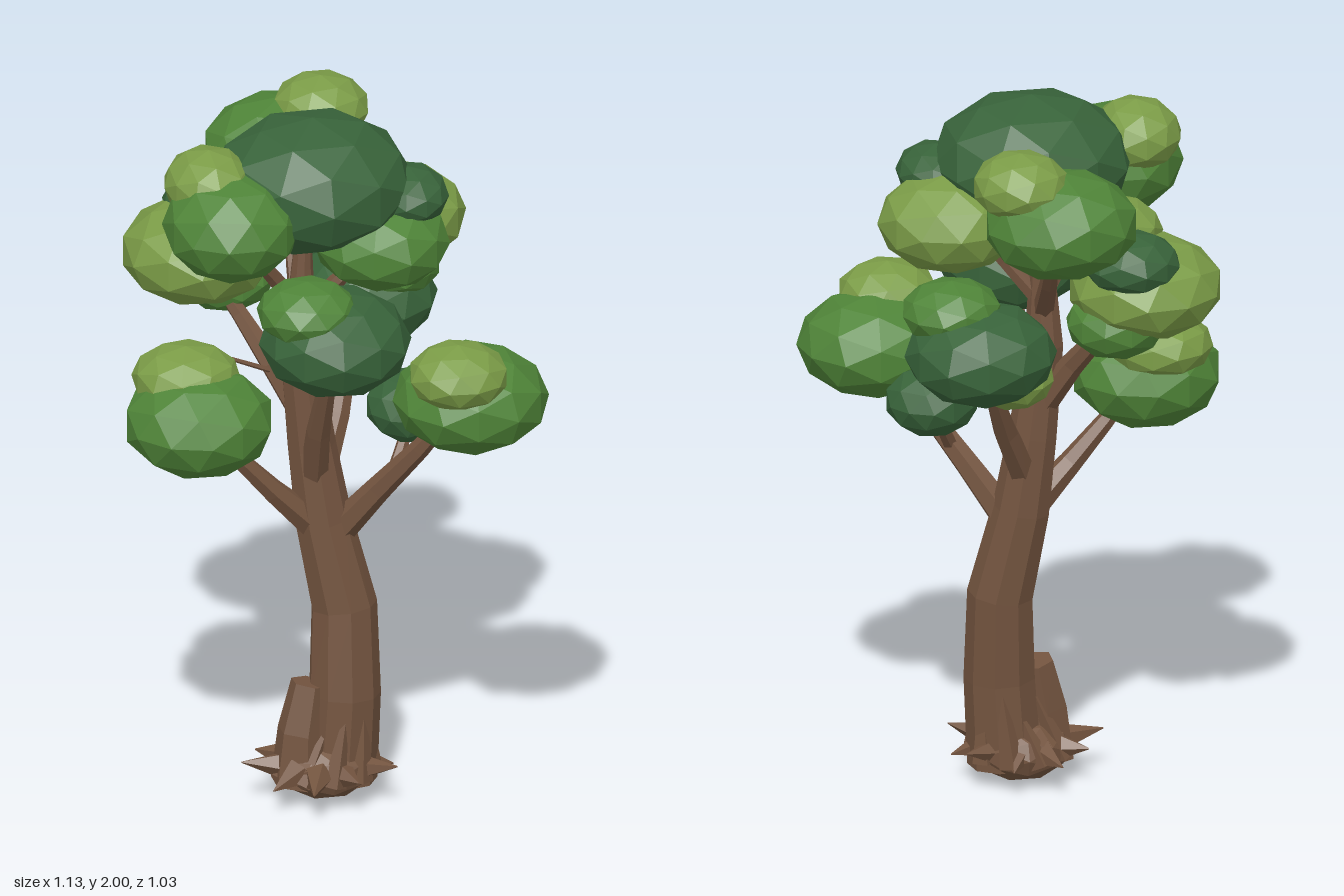
import * as THREE from 'three';

const material = (color) => new THREE.MeshStandardMaterial({ color, flatShading: true });
const UP = new THREE.Vector3(0, 1, 0);

// Tapered faceted limb along a path of [x, y, z, radius] stations
function limbGeometry(stations, sides, steps) {
  const curve = new THREE.CatmullRomCurve3(stations.map(([x, y, z]) => new THREE.Vector3(x, y, z)));
  const geometry = new THREE.CylinderGeometry(1, 1, 1, sides, steps);
  const pos = geometry.attributes.position;
  const v = new THREE.Vector3();
  const q = new THREE.Quaternion();
  for (let i = 0; i < pos.count; i++) {
    v.fromBufferAttribute(pos, i);
    const t = THREE.MathUtils.clamp(v.y + 0.5, 0, 1);
    const f = t * (stations.length - 1);
    const k = Math.min(Math.floor(f), stations.length - 2);
    const r = THREE.MathUtils.lerp(stations[k][3], stations[k + 1][3], f - k);
    q.setFromUnitVectors(UP, curve.getTangent(t).normalize());
    v.set(v.x * r, 0, v.z * r).applyQuaternion(q).add(curve.getPoint(t));
    pos.setXYZ(i, v.x, v.y, v.z);
  }
  geometry.computeVertexNormals();
  return geometry;
}

export function createModel() {
  const tree = new THREE.Group();
  tree.name = 'tree';
  const bark = material(0x73543f);
  const leaves = {
    dark: material(0x38633a),
    mid: material(0x4f8438),
    light: material(0x7b9c47),
  };
  const add = (name, geometry, mat, parent = tree) => {
    const mesh = new THREE.Mesh(geometry, mat);
    mesh.name = name;
    parent.add(mesh);
    return mesh;
  };

  // Leaning trunk
  add('trunk', limbGeometry([
    [0.03, 0.05, 0.09, 0.105], [0.045, 0.3, 0.09, 0.1], [0.048, 0.55, 0.068, 0.092],
    [-0.005, 0.8, 0.045, 0.08], [-0.035, 1.02, 0.034, 0.068],
    [-0.065, 1.28, 0.03, 0.055], [-0.06, 1.55, 0.03, 0.03], [-0.05, 1.75, 0.03, 0.015],
  ], 9, 7), bark);

  // Root ball under the trunk
  const ball = add('rootBall', new THREE.IcosahedronGeometry(1, 1), bark);
  ball.scale.set(0.14, 0.09, 0.135);
  ball.position.set(-0.01, 0.09, 0.09);

  // Buttress root and the smaller ridges around the foot
  const roots = new THREE.Group();
  roots.name = 'roots';
  tree.add(roots);
  add('buttressRoot', limbGeometry([
    [-0.08, 0.05, 0.1, 0.085], [-0.075, 0.2, 0.1, 0.07], [-0.05, 0.335, 0.09, 0.055],
  ], 6, 2), bark, roots);
  for (let i = 0; i < 9; i++) {
    const a = (i / 9) * Math.PI * 2 + 0.2;
    const c = Math.cos(a), s = Math.sin(a);
    const top = 0.2 + 0.05 * ((i * 2) % 3);
    add('rootRidge', limbGeometry([
      [-0.01 + c * 0.125, 0.07, 0.09 + s * 0.125, 0.035],
      [0.03 + c * 0.085, top, 0.09 + s * 0.085, 0.008],
    ], 4, 1), bark, roots);
  }

  // Pointed root tips fanning outwards
  for (let i = 0; i < 10; i++) {
    const a = (i / 10) * Math.PI * 2;
    const c = Math.cos(a), s = Math.sin(a);
    const reach = 0.2 + 0.025 * (i % 2);
    const rise = 0.09 + 0.015 * ((i * 3) % 4 - 1);
    add('rootTip', limbGeometry([
      [-0.02 + c * 0.1, 0.1, 0.1 + s * 0.1, 0.042],
      [-0.02 + c * reach, rise, 0.1 + s * reach * 0.95, 0.002],
    ], 5, 1), bark, roots);
  }

  // Branches reaching into the foliage
  const branches = new THREE.Group();
  branches.name = 'branches';
  tree.add(branches);
  [
    [[-0.03, 0.79, 0.06, 0.045], [-0.15, 0.91, 0.08, 0.033], [-0.25, 1.02, 0.09, 0.025], [-0.34, 1.13, 0.1, 0.015]],
    [[0.04, 0.78, 0.07, 0.045], [0.13, 0.91, 0.13, 0.036], [0.23, 1.05, 0.2, 0.028], [0.33, 1.2, 0.27, 0.015]],
    [[-0.01, 0.9, 0.02, 0.042], [0.06, 1.06, -0.06, 0.035], [0.11, 1.2, -0.14, 0.025], [0.16, 1.34, -0.2, 0.015]],
    [[-0.05, 1.1, 0.02, 0.042], [-0.13, 1.24, -0.04, 0.033], [-0.2, 1.36, -0.12, 0.025], [-0.29, 1.5, -0.2, 0.015]],
    [[-0.035, 0.95, 0.07, 0.04], [-0.04, 1.1, 0.14, 0.034], [-0.035, 1.25, 0.21, 0.026], [-0.03, 1.4, 0.28, 0.015]],
    [[-0.06, 1.38, 0.02, 0.03], [-0.05, 1.5, -0.1, 0.025], [-0.04, 1.61, -0.2, 0.02], [-0.04, 1.74, -0.3, 0.012]],
    [[-0.06, 1.42, 0.03, 0.028], [-0.16, 1.56, 0.09, 0.022], [-0.28, 1.72, 0.17, 0.012]],
    [[-0.06, 1.4, 0.03, 0.028], [0.04, 1.52, 0.06, 0.022], [0.16, 1.65, 0.08, 0.012]],
    [[0.17, 0.96, 0.15, 0.022], [0.21, 1.04, 0.1, 0.017], [0.24, 1.12, 0.07, 0.01]],
    [[-0.12, 1.22, -0.02, 0.008], [-0.25, 1.28, 0, 0.006], [-0.36, 1.26, 0.02, 0.004]],
  ].forEach((path) => add('branch', limbGeometry(path, 6, path.length - 1), bark, branches));

  // Foliage clumps: shade, centre x y z, radii x y z
  const foliage = new THREE.Group();
  foliage.name = 'foliage';
  tree.add(foliage);
  [
    ['dark', -0.035, 1.81, 0.05, 0.28, 0.19, 0.265],
    ['mid', -0.29, 1.755, 0.17, 0.19, 0.15, 0.2],
    ['light', -0.335, 1.85, 0.09, 0.125, 0.1, 0.145],
    ['mid', -0.04, 1.755, -0.32, 0.215, 0.15, 0.2],
    ['light', 0.07, 1.87, -0.305, 0.135, 0.095, 0.14],
    ['mid', 0.14, 1.65, 0.12, 0.19, 0.13, 0.2],
    ['light', 0.2, 1.67, 0, 0.205, 0.14, 0.19],
    ['dark', 0.22, 1.775, 0.11, 0.11, 0.08, 0.13],
    ['mid', -0.365, 1.15, 0.1, 0.21, 0.15, 0.21],
    ['light', -0.385, 1.255, 0.03, 0.15, 0.09, 0.15],
    ['mid', 0.355, 1.225, 0.28, 0.215, 0.145, 0.215],
    ['light', 0.3, 1.335, 0.37, 0.14, 0.09, 0.14],
    ['dark', -0.03, 1.44, 0.3, 0.21, 0.145, 0.215],
    ['mid', -0.11, 1.54, 0.31, 0.14, 0.09, 0.14],
    ['dark', 0.16, 1.35, -0.2, 0.21, 0.14, 0.215],
    ['mid', 0.23, 1.46, -0.15, 0.14, 0.09, 0.14],
    ['light', -0.295, 1.52, -0.215, 0.215, 0.14, 0.22],
    ['dark', -0.24, 1.62, -0.3, 0.135, 0.085, 0.135],
    ['light', -0.23, 1.64, -0.09, 0.14, 0.095, 0.135],
    ['mid', -0.21, 1.43, -0.24, 0.14, 0.1, 0.14],
    ['dark', 0.24, 1.125, 0.07, 0.13, 0.1, 0.13],
    ['light', 0.06, 1.245, -0.12, 0.12, 0.085, 0.13],
  ].forEach(([shade, x, y, z, rx, ry, rz], i) => {
    const geometry = new THREE.IcosahedronGeometry(1, 1);
    geometry.rotateY(i * 1.3);
    geometry.scale(rx, ry, rz);
    add('leafClump', geometry, leaves[shade], foliage).position.set(x, y, z);
  });

  return tree;
}
